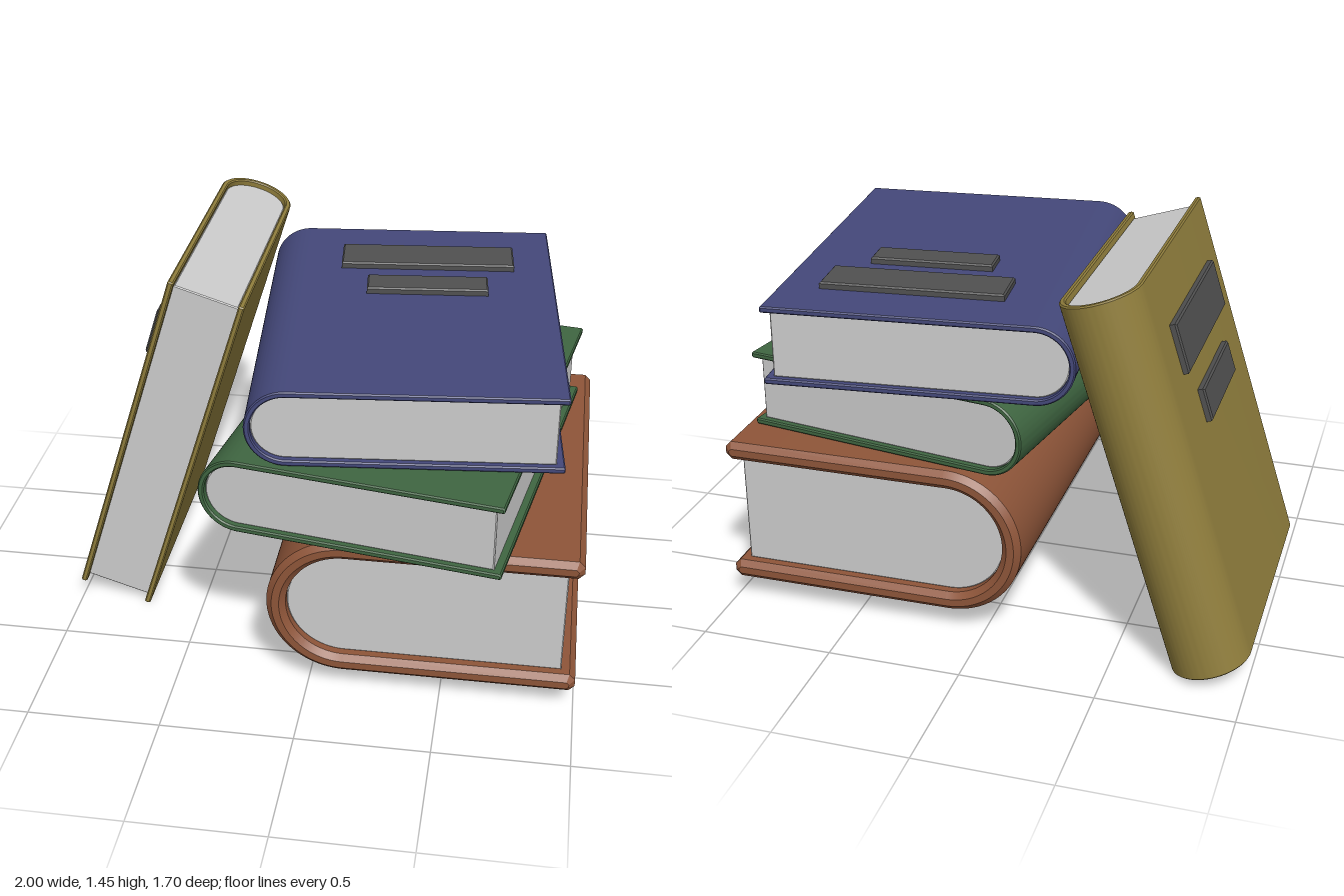
import * as THREE from 'three';
import { toCreasedNormals } from 'three/addons/utils/BufferGeometryUtils.js';

const material = (color) => new THREE.MeshStandardMaterial({ color });
const pageMaterial = material(0xcccccc);
const plateMaterial = material(0x505050);

// Extrude a profile to total depth d along z, centred, with chamfered ends
function extrude(shape, d, bevel) {
  const geometry = new THREE.ExtrudeGeometry(shape, {
    depth: d - 2 * bevel, curveSegments: 32, bevelEnabled: true,
    bevelSegments: 1, bevelSize: bevel, bevelThickness: bevel, bevelOffset: -bevel,
  });
  geometry.translate(0, 0, bevel - d / 2);
  return toCreasedNormals(geometry, 0.5);
}

// C-shaped cover profile: round spine at -x, two boards ending at +x
function coverShape(w, h, t, c) {
  const x = w / 2, y = h / 2, spineX = -x + y;
  const s = new THREE.Shape();
  s.moveTo(x - c, y);
  s.lineTo(spineX, y);
  s.absarc(spineX, 0, y, Math.PI / 2, Math.PI * 1.5, false);
  s.lineTo(x - c, -y);
  s.lineTo(x, -y + c);
  s.lineTo(x, -y + t - c);
  s.lineTo(x - c, -y + t);
  s.lineTo(spineX, -y + t);
  s.absarc(spineX, 0, y - t, Math.PI * 1.5, Math.PI / 2, true);
  s.lineTo(x - c, y - t);
  s.lineTo(x, y - t + c);
  s.lineTo(x, y - c);
  s.closePath();
  return s;
}

// Page block profile: fills the inside of the cover
function pagesShape(w, h, t, inset) {
  const x = w / 2 - inset, r = h / 2 - t, spineX = -w / 2 + h / 2;
  const s = new THREE.Shape();
  s.moveTo(x, r);
  s.lineTo(spineX, r);
  s.absarc(spineX, 0, r, Math.PI / 2, Math.PI * 1.5, false);
  s.lineTo(x, -r);
  s.closePath();
  return s;
}

function makeBook(name, color, { w, h, d, t, bevel, insetX, insetZ }, plates) {
  const book = new THREE.Group();
  book.name = name;
  const add = (part, geometry, mat) => {
    const mesh = new THREE.Mesh(geometry, mat);
    mesh.name = part;
    book.add(mesh);
    return mesh;
  };
  add('cover', extrude(coverShape(w, h, t, bevel), d, bevel), material(color));
  add('pages', extrude(pagesShape(w, h, t, insetX), d - 2 * insetZ, 0.004), pageMaterial);

  // Raised title plates on the upper board
  if (plates) {
    for (const [pw, pd, z] of [[0.68, 0.185, -0.41], [0.465, 0.125, -0.15]]) {
      const plate = new THREE.Shape();
      plate.moveTo(-pw / 2, -pd / 2);
      plate.lineTo(pw / 2, -pd / 2);
      plate.lineTo(pw / 2, pd / 2);
      plate.lineTo(-pw / 2, pd / 2);
      plate.closePath();
      const mesh = add('titlePlate', extrude(plate, 0.04, 0.006), plateMaterial);
      mesh.rotation.x = -Math.PI / 2;
      mesh.position.set(0.07, h / 2 + 0.005, z);
    }
  }
  return book;
}

export function createModel() {
  const model = new THREE.Group();
  model.name = 'bookStack';
  const thick = { w: 1.15, h: 0.575, d: 1.45, t: 0.072, bevel: 0.022, insetX: 0.053, insetZ: 0.048 };
  const slim = { w: 1.122, h: 0.295, d: 1.43, t: 0.023, bevel: 0.005, insetX: 0.03, insetZ: 0.022 };

  // Stacked books, bottom to top
  const bottom = makeBook('bottomBook', 0x8e5539, thick, false);
  bottom.position.set(0.425, 0.378, -0.017);

  const middle = makeBook('middleBook', 0x3f6641, slim, false);
  middle.position.set(0.275, 0.818, 0.05);
  middle.rotation.y = -0.168;

  const top = makeBook('topBook', 0x44487a, slim, true);
  top.position.set(0.278, 1.116, -0.06);
  top.rotation.y = 0.093;

  // Book leaning against the stack, spine to the back
  const leaning = makeBook('leaningBook', 0x8f7d3c, slim, true);
  const a = 0.307, s = Math.sin(a), c = Math.cos(a);
  leaning.quaternion.setFromRotationMatrix(new THREE.Matrix4().makeBasis(
    new THREE.Vector3(0, 0, 1), new THREE.Vector3(-c, s, 0), new THREE.Vector3(-s, -c, 0)));
  leaning.position.set(-0.643, 0.727, -0.288);

  model.add(bottom, middle, top, leaning);
  return model;
}
